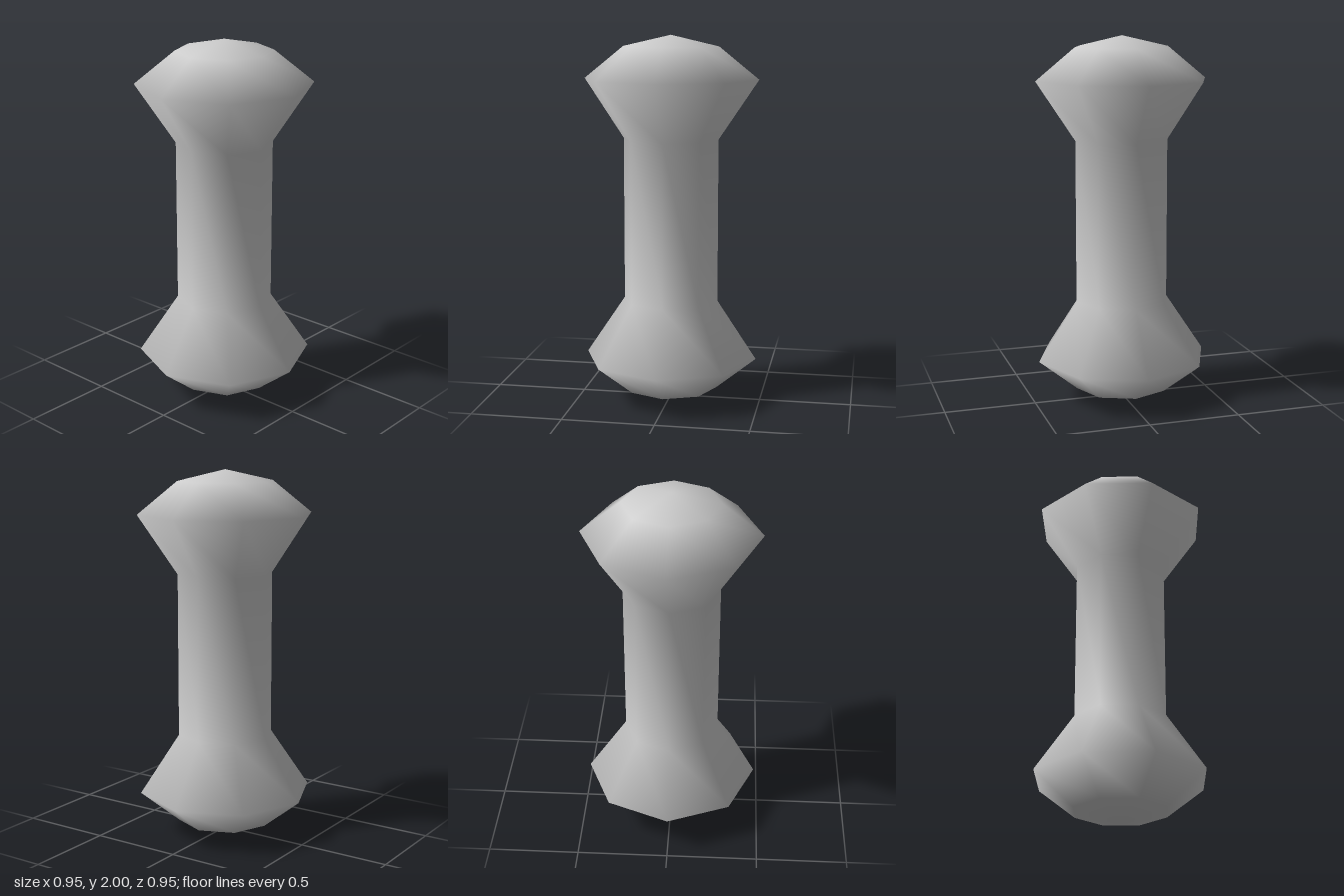
import * as THREE from 'three';
import { mergeVertices } from 'three/addons/utils/BufferGeometryUtils.js';

export function createModel() {
  const group = new THREE.Group();
  group.name = 'dumbbell';

  // Lower half of the profile (radius, height), mirrored about mid-height
  const lower = [[0, 0], [0.26, 0.06], [0.475, 0.233], [0.26, 0.555]];
  const upper = lower.map(([r, y]) => [r, 2 - y]).reverse();
  const profile = [...lower, ...upper].map(([r, y]) => new THREE.Vector2(r, y));

  // Eight-sided turned body, welded so the shading is smooth across seam and poles
  const lathe = new THREE.LatheGeometry(profile, 8);
  lathe.deleteAttribute('uv');
  lathe.deleteAttribute('normal');
  const geometry = mergeVertices(lathe, 1e-4);
  geometry.computeVertexNormals();

  const body = new THREE.Mesh(geometry, new THREE.MeshStandardMaterial({ color: 0xcccccc }));
  body.name = 'body';
  group.add(body);
  return group;
}
